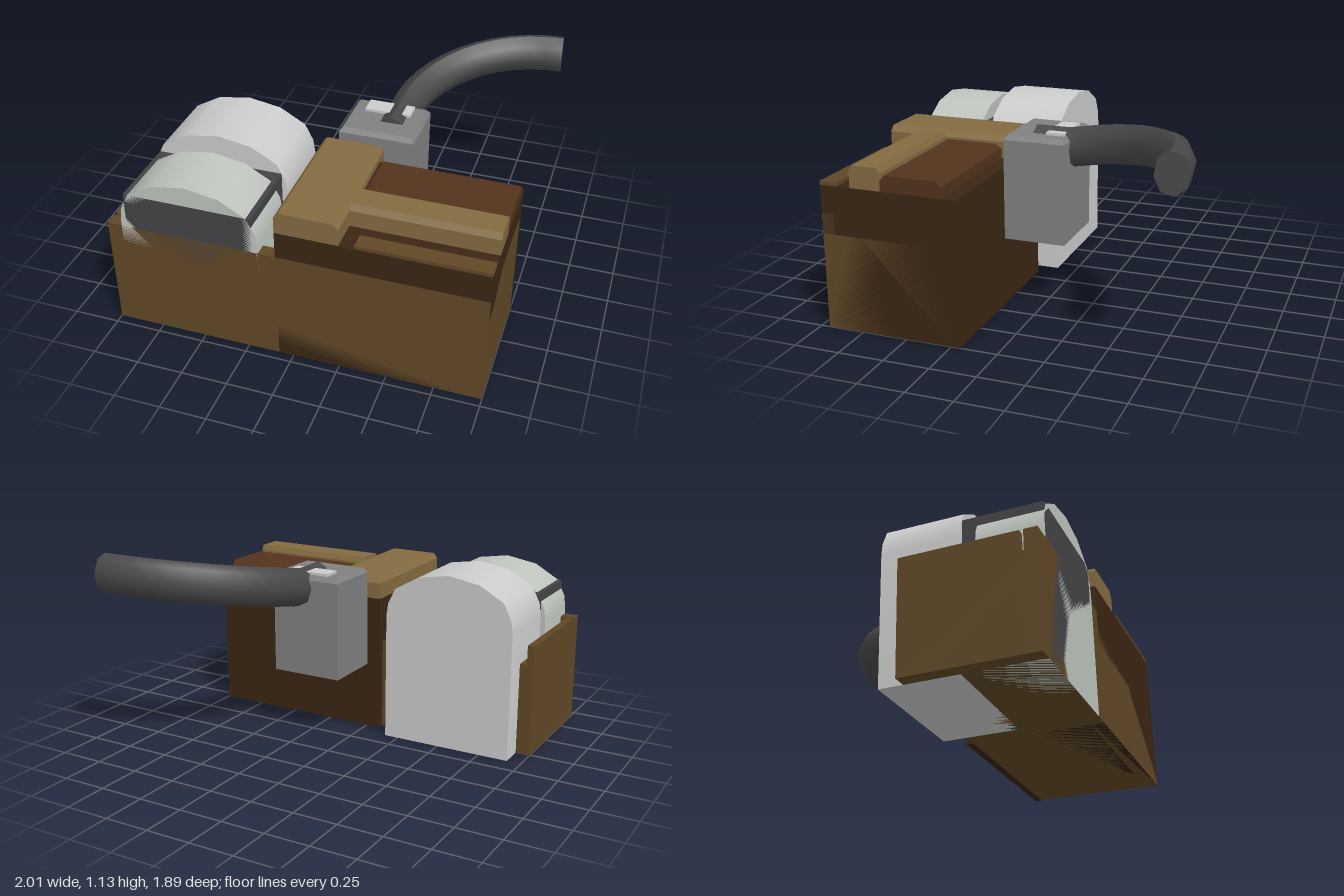
import * as THREE from 'three';
import { toCreasedNormals } from 'three/addons/utils/BufferGeometryUtils.js';

const mat = (color) => new THREE.MeshStandardMaterial({ color });
const wood = mat(0x5f4826);
const darkWood = mat(0x3a2614);
const tan = mat(0x836a40);
const redWood = mat(0x52331c);
const white = mat(0xd4d4d4);
const paleGrey = mat(0xbfc4be);
const steel = mat(0x808080);
const rubber = mat(0x484848);
const charcoal = mat(0x444447);

export function createModel() {
  const model = new THREE.Group();

  const add = (name, geometry, material) => {
    const mesh = new THREE.Mesh(geometry, material);
    mesh.name = name;
    model.add(mesh);
    return mesh;
  };

  // Box given by its limits on each axis
  const block = (name, [x0, x1], [y0, y1], [z0, z1], material) => {
    const g = new THREE.BoxGeometry(x1 - x0, y1 - y0, z1 - z0);
    g.translate((x0 + x1) / 2, (y0 + y1) / 2, (z0 + z1) / 2);
    return add(name, g, material);
  };

  // Box whose top edge is chamfered; inset = [x0, x1, z0, z1] amounts
  const chamferBlock = (name, [x0, x1], [y0, y1], [z0, z1], drop, inset, material) => {
    const g = new THREE.BoxGeometry(1, 2, 1, 1, 2, 1);
    const p = g.attributes.position;
    for (let i = 0; i < p.count; i++) {
      const level = Math.round(p.getY(i));
      const k = level === 1 ? 1 : 0;
      const x = p.getX(i) < 0 ? x0 + k * inset[0] : x1 - k * inset[1];
      const z = p.getZ(i) < 0 ? z0 + k * inset[2] : z1 - k * inset[3];
      p.setXYZ(i, x, level === 1 ? y1 : level === 0 ? y1 - drop : y0, z);
    }
    const flat = g.toNonIndexed();
    flat.computeVertexNormals();
    return add(name, flat, material);
  };

  // Low case: core with raised front and side panels
  block('caseCore', [-1, 1], [0, 0.52], [0.24, 0.95], wood);
  block('caseFrontPanel', [-1, 1], [0, 0.63], [0.88, 0.95], wood);
  for (const s of [-1, 1]) {
    block('caseSidePanel', [s * 0.98 - 0.02, s * 0.98 + 0.02], [0, 0.63], [0.24, 0.86], wood);
  }

  // Tall cabinet with its top mouldings
  block('cabinet', [-0.08, 1], [0, 0.78], [0.2, 0.95], darkWood);
  chamferBlock('crossBeam', [-0.08, 0.25], [0.78, 0.9], [0.2, 0.95], 0.03, [0.025, 0.03, 0.025, 0], tan);
  chamferBlock('longBeam', [0.25, 1], [0.78, 0.9], [0.61, 0.78], 0.03, [0, 0, 0.015, 0.02], tan);
  chamferBlock('lidPanel', [0.25, 1], [0.78, 0.865], [0.28, 0.61], 0.03, [0.025, 0, 0.025, 0.025], redWood);
  block('frontTrim', [0.33, 1], [0.78, 0.8], [0.86, 0.95], wood);

  // Arched drums, rounded over the top
  const arch = [[-0.375, 0.72], [-0.365, 0.79], [-0.32, 0.88], [-0.18, 0.96], [0, 0.99]];
  const drum = (name, z0, z1, lower, material) => {
    const pts = [
      [-0.375, 0],
      ...arch.map(([x, y]) => [x, y - lower]),
      ...arch.slice(0, -1).reverse().map(([x, y]) => [-x, y - lower]),
      [0.375, 0],
    ];
    const shape = new THREE.Shape(pts.map(([x, y]) => new THREE.Vector2(x, y)));
    const g = new THREE.ExtrudeGeometry(shape, { depth: z1 - z0, bevelEnabled: false });
    g.translate(-0.545, 0, z0);
    add(name, toCreasedNormals(g, 0.75), material);
  };
  drum('rearDrum', 0.11, 0.53, 0, white);
  drum('frontDrum', 0.61, 0.95, 0.05, paleGrey);
  block('drumCore', [-0.89, -0.2], [0, 0.83], [0.53, 0.95], charcoal);

  // Coupling box behind the cabinet, with a bar running through it
  chamferBlock('couplingBox', [0, 0.41], [0.38, 0.955], [-0.14, 0.2], 0.025, [0.02, 0.02, 0.02, 0.02], steel);
  block('couplingBar', [0.08, 0.33], [0.375, 0.97], [-0.11, -0.01], white);

  // Hose: level inside the coupling, then a rising quarter bend;
  // built round and stretched upward to an oval section
  const stretch = 1.25;
  const centres = [new THREE.Vector3(0.25, 0.88, 0.07), new THREE.Vector3(0.25, 0.88, -0.04)];
  for (let i = 0; i <= 8; i++) {
    const a = (i / 8) * Math.PI / 2;
    const z = -0.12 - 0.74 * Math.sin(a);
    centres.push(new THREE.Vector3(1 - 0.75 * Math.cos(a), 0.88 + (-0.12 - z) * 0.196, z));
  }
  centres.forEach((c) => { c.y /= stretch; });
  const path = new THREE.CatmullRomCurve3(centres);
  const sides = 8, steps = 14;
  const tube = new THREE.TubeGeometry(path, steps, 0.086, sides, false);
  tube.scale(1, stretch, 1);
  tube.computeVertexNormals();
  add('hose', tube, rubber);

  // Flat caps taken from the first and last rings of the hose
  for (const ring of [0, steps]) {
    const p = tube.attributes.position;
    const corners = [];
    for (let j = 0; j < sides; j++) {
      corners.push(new THREE.Vector3().fromBufferAttribute(p, ring * (sides + 1) + j));
    }
    const tris = [];
    for (let j = 1; j < sides - 1; j++) tris.push(corners[0], corners[j], corners[j + 1]);
    const cap = new THREE.BufferGeometry().setFromPoints(tris);
    cap.computeVertexNormals();
    const capMat = mat(0x484848);
    capMat.side = THREE.DoubleSide;
    add('hoseCap', cap, capMat);
  }

  return model;
}
